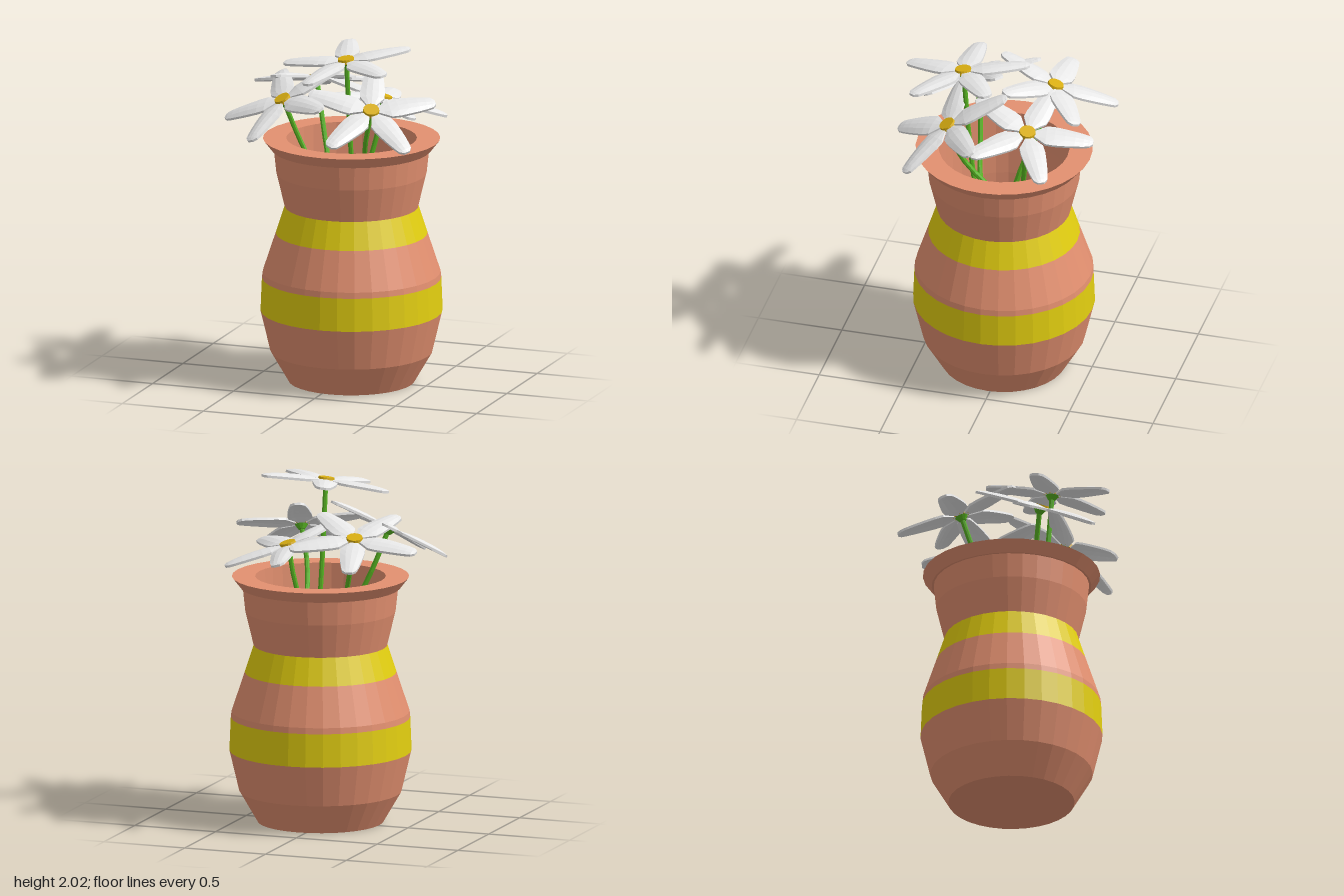
import * as THREE from 'three';

const mat = (name, color) => {
  const m = new THREE.MeshStandardMaterial({ color, flatShading: true });
  m.name = name;
  return m;
};

export function createModel() {
  const clay = mat('terracotta', 0xe39070);
  const yellow = mat('yellow glaze', 0xe2ce10);
  const white = mat('petal white', 0xf2f2f2);
  const gold = mat('flower centre gold', 0xd9ae12);
  const green = mat('stem green', 0x58b422);
  const blue = mat('water blue', 0x8cbcc9);

  const model = new THREE.Group();
  model.name = 'vaseOfFlowers';
  const add = (parent, name, geometry, material) => {
    const mesh = new THREE.Mesh(geometry, material);
    mesh.name = name;
    parent.add(mesh);
    return mesh;
  };

  // Vase, stacked from turned bands of [radius, height]
  const vase = new THREE.Group();
  vase.name = 'vase';
  vase.position.set(0.047, 0, 0.015);
  model.add(vase);
  const bands = [
    ['lowerBody', clay, [[0, 0], [0.365, 0], [0.47, 0.18], [0.527, 0.42]]],
    ['lowerStripe', yellow, [[0.527, 0.42], [0.519, 0.615]]],
    ['belly', clay, [[0.519, 0.615], [0.515, 0.65], [0.439, 0.88]]],
    ['upperStripe', yellow, [[0.439, 0.88], [0.387, 1.04]]],
    ['neckAndRim', clay, [[0.387, 1.04], [0.435, 1.24], [0.45, 1.38], [0.462, 1.38], [0.513, 1.445], [0.378, 1.445]]],
    ['innerWall', clay, [[0.378, 1.445], [0.375, 1.24], [0.37, 1.04], [0.375, 0.8]]],
    ['water', blue, [[0.375, 0.8], [0, 0.8]]],
  ];
  for (const [name, material, profile] of bands) {
    const points = profile.map(([r, y]) => new THREE.Vector2(r, y));
    add(vase, name, new THREE.LatheGeometry(points, 32), material);
  }

  // Petal: a thin slab along +x, narrow at the base, gently cupped
  const widths = [0.016, 0.045, 0.07, 0.072, 0.066, 0.058, 0.049, 0.04, 0.018];
  const stations = [0.03, 0.075, 0.11, 0.16, 0.22, 0.28, 0.33, 0.365, 0.385];
  const petalGeometry = new THREE.BoxGeometry(8, 0.014, 1, 8, 1, 4);
  const p = petalGeometry.attributes.position;
  for (let i = 0; i < p.count; i++) {
    const k = Math.round(p.getX(i) + 4);
    const across = p.getZ(i) * 2;
    const x = stations[k];
    const y = p.getY(i) + 0.016 * (1 - across * across) * Math.sin(Math.PI * k / 8) - 0.05 * x * x;
    p.setXYZ(i, x, y, across * widths[k]);
  }
  petalGeometry.computeVertexNormals();
  const centreGeometry = new THREE.CylinderGeometry(0.046, 0.05, 0.026, 16);
  const budGeometry = new THREE.CylinderGeometry(0.04, 0.02, 0.03, 10);

  // Flowers: head position, facing, turn, then the lower points of the stem
  const flowers = [
    [[-0.25, 1.72, -0.21], [-0.1, 1, -0.3], -0.04, [[-0.18, 1.45, -0.13], [-0.11, 1.2, -0.04], [-0.08, 0.8, 0.06]]],
    [[0.18, 1.65, -0.16], [0.25, 1, -0.15], -0.14, [[0.15, 1.45, -0.14], [0.07, 1.15, -0.09], [-0.06, 0.8, 0.05]]],
    [[-0.28, 1.7, 0.27], [-0.37, 1, 0.4], 0.03, [[-0.19, 1.45, 0.22], [-0.04, 1.15, 0.18], [0.17, 0.8, 0.03]]],
    [[0.1, 1.96, 0.245], [-0.09, 1, 0.13], 0, [[0.11, 1.45, 0.2], [0.12, 1.15, 0.16], [0.16, 0.8, 0.06]]],
    [[0.27, 1.685, 0.29], [0.25, 1, 0.52], 0, [[0.21, 1.45, 0.23], [0.13, 1.15, 0], [-0.05, 0.8, -0.32]]],
  ];
  const up = new THREE.Vector3(0, 1, 0);
  for (const [at, facing, turn, below] of flowers) {
    const flower = new THREE.Group();
    flower.name = 'flower';
    model.add(flower);

    const normal = new THREE.Vector3(...facing).normalize();
    const head = new THREE.Group();
    head.name = 'flowerHead';
    head.position.set(...at);
    head.quaternion.setFromUnitVectors(up, normal);
    flower.add(head);
    for (let i = 0; i < 5; i++) {
      add(head, 'petal', petalGeometry, white).rotation.y = Math.PI + turn + i * Math.PI * 0.4;
    }
    add(head, 'flowerCentre', centreGeometry, gold).position.y = 0.008;
    add(head, 'flowerBase', budGeometry, green).position.y = -0.02;

    const top = new THREE.Vector3(...at).addScaledVector(normal, -0.015);
    const path = new THREE.CatmullRomCurve3([top, ...below.map((b) => new THREE.Vector3(...b))]);
    add(flower, 'stem', new THREE.TubeGeometry(path, 12, 0.015, 8), green);
  }
  return model;
}
